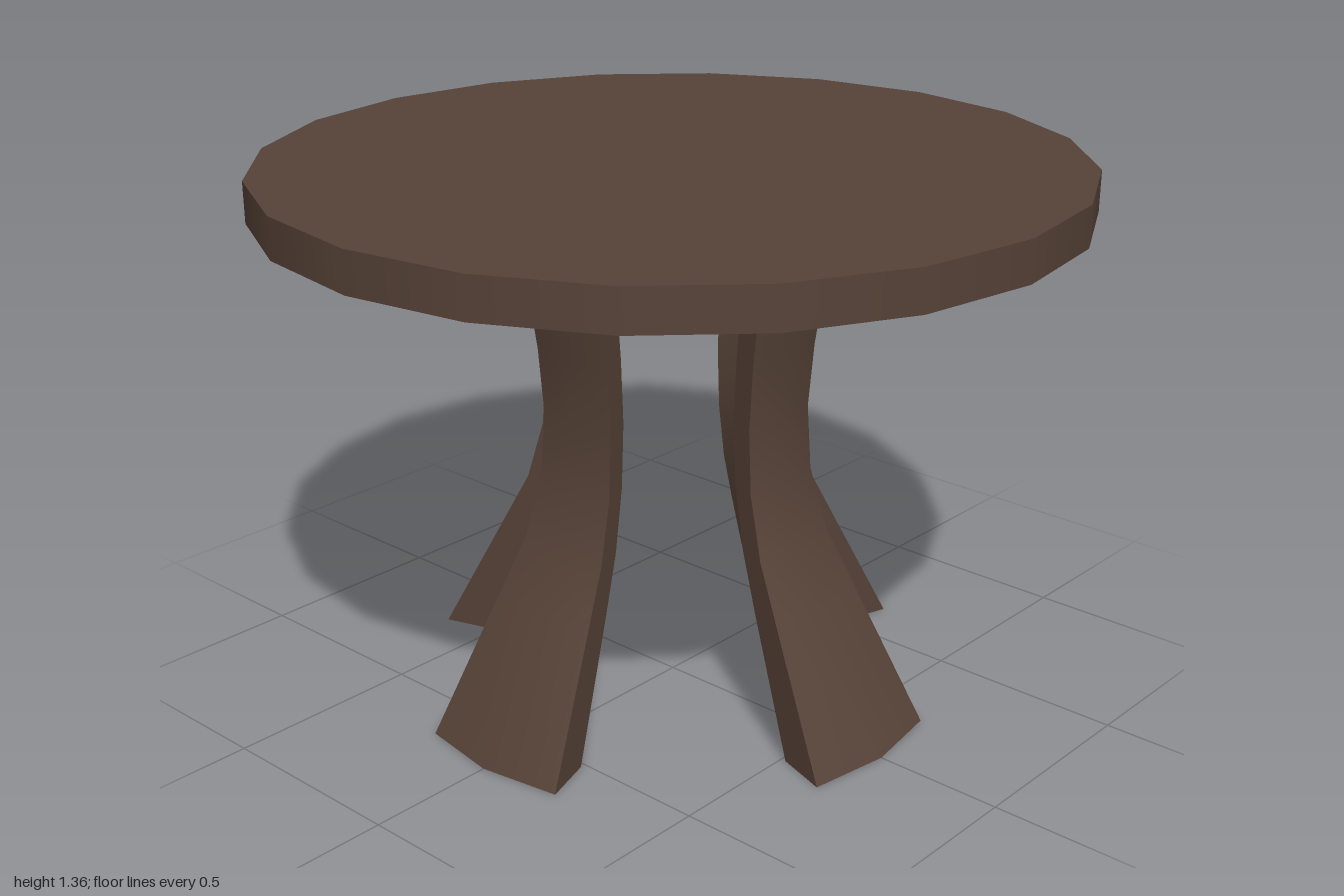
import * as THREE from 'three';
import { mergeGeometries, toCreasedNormals } from 'three/addons/utils/BufferGeometryUtils.js';

const SIDES = 20;
const STEP = (Math.PI * 2) / SIDES;
const TOP_Y = 1.36, UNDER_Y = 1.26;

const wood = new THREE.MeshStandardMaterial({ color: 0x564237 });

// Leg outline as [outer radius, inner radius, height], floor to tabletop
const LEG = [
  [0.675, 0.54, 0],
  [0.49, 0.392, 0.335],
  [0.413, 0.335, 0.475],
  [0.366, 0.298, 0.63],
  [0.355, 0.286, 0.79],
  [0.368, 0.296, 0.95],
  [0.414, 0.335, UNDER_Y],
];

// Each leg is a two-facet sector of a turned pedestal, closed by flat sides
function legGeometry() {
  const outline = [
    ...LEG.map(([outer, , y]) => new THREE.Vector2(outer, y)),
    ...LEG.map(([, inner, y]) => new THREE.Vector2(inner, y)).reverse(),
  ];
  const wall = new THREE.LatheGeometry([...outline, outline[0].clone()], 2, -STEP, STEP * 2);
  const startSide = new THREE.ShapeGeometry(new THREE.Shape(outline)).rotateY(-STEP - Math.PI / 2);
  const mirrored = outline.map((p) => new THREE.Vector2(-p.x, p.y));
  const endSide = new THREE.ShapeGeometry(new THREE.Shape(mirrored)).rotateY(STEP + Math.PI / 2);
  return toCreasedNormals(mergeGeometries([wall, startSide, endSide]), 0.6);
}

export function createModel() {
  const table = new THREE.Group();
  table.name = 'roundTable';

  // Twenty-sided tabletop
  const top = new THREE.Mesh(new THREE.CylinderGeometry(1, 1, TOP_Y - UNDER_Y, SIDES), wood);
  top.name = 'tabletop';
  top.position.y = (TOP_Y + UNDER_Y) / 2;
  table.add(top);

  // Four flared legs, one on each axis
  const geometry = legGeometry();
  ['frontLeg', 'leftLeg', 'backLeg', 'rightLeg'].forEach((name, i) => {
    const leg = new THREE.Mesh(geometry, wood);
    leg.name = name;
    leg.rotation.y = (i * Math.PI) / 2;
    table.add(leg);
  });

  return table;
}
